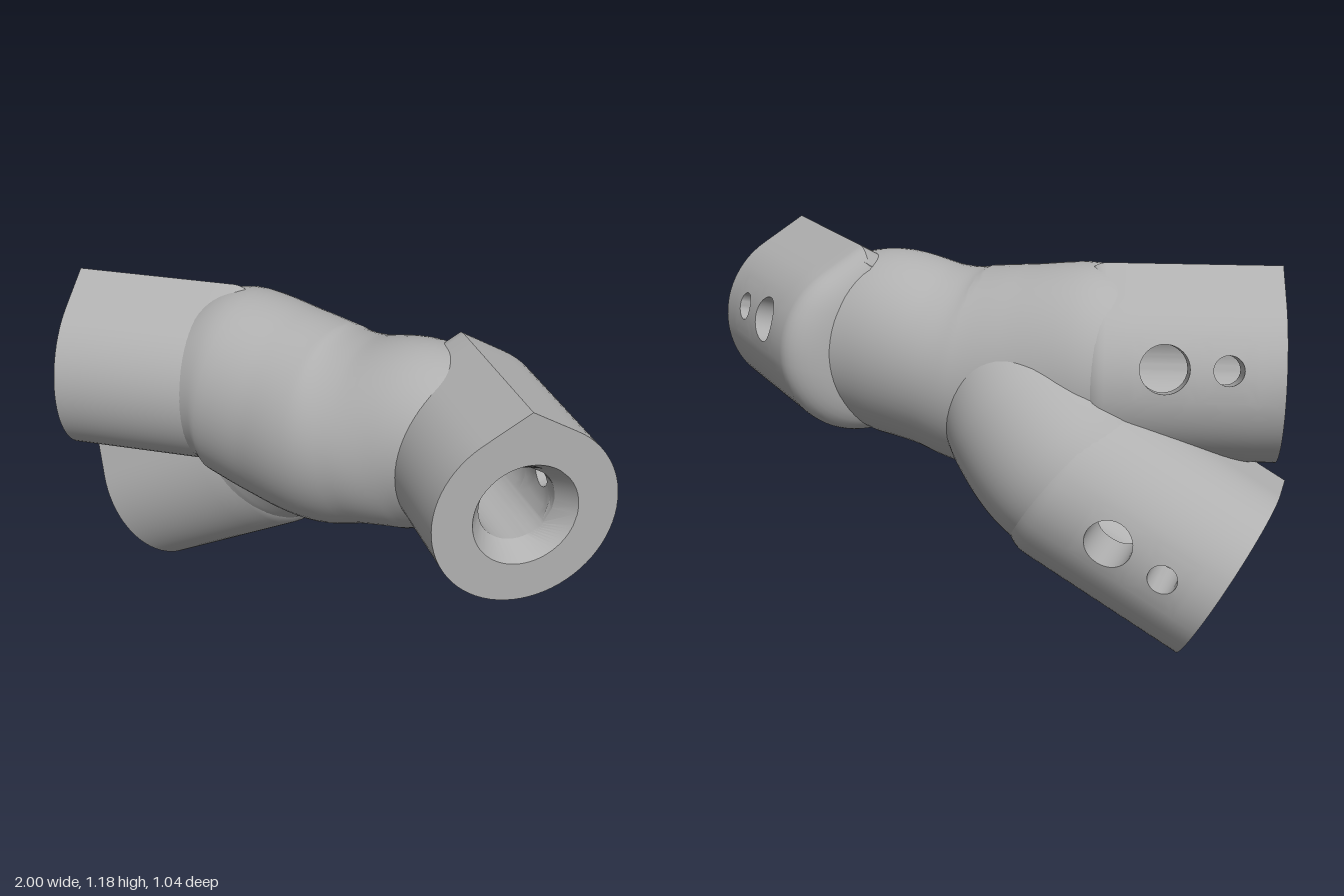
import * as THREE from 'three';
import { toCreasedNormals } from 'three/addons/utils/BufferGeometryUtils.js';

const BORE = 0.12, CELL = 0.1, COLS = 8, REST = 64;
// cross holes through the socket wall: depth range of the cell, centre depth, radius
const HOLES = [
  { from: 0.08, to: 0.26, d: 0.17, r: 0.046 },
  { from: 0.26, to: 0.46, d: 0.36, r: 0.075 },
];

function finish(points, crease) {
  const geo = new THREE.BufferGeometry();
  geo.setAttribute('position', new THREE.Float32BufferAttribute(points.flatMap(p => p.toArray()), 3));
  return toCreasedNormals(geo, crease);
}

function quad(out, a, b, c, d) {
  out.push(a, b, c, a, c, d);
}

// Socket along local +y (open end at y = 0), cross holes on local +z, ridge at angle ridge
function socketGeometry(radius, ridge, straight, domeLength) {
  const tris = [];
  const ridgeScale = a => {
    const off = Math.abs(Math.atan2(Math.sin(a - ridge), Math.cos(a - ridge)));
    return off < Math.PI / 6 ? 1 / Math.cos(Math.PI / 6 - off) : 1;
  };
  const point = (a, d, r, outer) => {
    const k = outer ? r * ridgeScale(a) : r;
    return new THREE.Vector3(k * Math.sin(a), -d, k * Math.cos(a));
  };

  // profile rows from the bore floor, out over the end face, back to the domed end
  const rows = [[0.48, 0], [0.48, BORE], [0.46, BORE], [0.26, BORE], [0.08, BORE], [0.07, BORE], [0, 0.165],
    [0, radius, true], [0.08, radius, true], [0.26, radius, true], [0.46, radius, true], [straight, radius, true]];
  for (let i = 1; i <= 10; i++) {
    const t = i / 10 * Math.PI / 2;
    rows.push([straight + domeLength * Math.sin(t), radius * Math.sqrt(Math.max(0, Math.cos(t))), true]);
  }

  // column angles: the first columns span the hole cells
  const angles = r => {
    const R = Math.max(r, BORE), list = [], edge = Math.asin(CELL / R);
    for (let k = 0; k <= COLS; k++) {
      list.push(Math.asin(CELL / R * Math.tan(-Math.PI / 4 + k / COLS * Math.PI / 2)));
    }
    const step = (2 * Math.PI - 2 * edge) / REST;
    for (let k = 1; k <= REST; k++) {
      const a = edge + k * step;
      const gap = Math.atan2(Math.sin(ridge - a), Math.cos(ridge - a));
      list.push(k < REST && Math.abs(gap) < step / 2 ? a + gap : a);
    }
    return list;
  };

  for (let i = 0; i < rows.length - 1; i++) {
    const [d0, r0, o0] = rows[i], [d1, r1, o1] = rows[i + 1];
    const A = angles(r0), B = angles(r1);
    const hole = r0 === r1 && HOLES.find(h => h.from === Math.min(d0, d1) && h.to === Math.max(d0, d1));
    for (let j = hole ? COLS : 0; j < COLS + REST; j++) {
      quad(tris, point(A[j], d0, r0, o0), point(B[j], d1, r1, o1),
        point(B[j + 1], d1, r1, o1), point(A[j + 1], d0, r0, o0));
    }
    if (!hole) continue;
    // square cell with a round opening
    const half = (d1 - d0) / 2, mid = (d0 + d1) / 2, flip = Math.sign(half);
    const cell = (n, k) => {
      const f = n / 32 * Math.PI * 2, c = Math.cos(f), s = Math.sin(f);
      const m = Math.max(Math.abs(c), Math.abs(s));
      const x = THREE.MathUtils.lerp(hole.r * c, CELL * c / m, k);
      const d = THREE.MathUtils.lerp(hole.d + flip * hole.r * s, mid + half * s / m, k);
      return new THREE.Vector3(x, -d, Math.sqrt(r0 * r0 - x * x));
    };
    for (let n = 0; n < 32; n++) {
      for (let k = 0; k < 3; k++) {
        quad(tris, cell(n, k / 3), cell(n + 1, k / 3), cell(n + 1, (k + 1) / 3), cell(n, (k + 1) / 3));
      }
    }
  }

  // walls of the cross holes
  for (const h of HOLES) {
    const rim = (n, R) => {
      const f = n / 32 * Math.PI * 2, x = h.r * Math.cos(f);
      return new THREE.Vector3(x, -h.d + h.r * Math.sin(f), Math.sqrt(R * R - x * x));
    };
    for (let n = 0; n < 32; n++) {
      quad(tris, rim(n, radius), rim(n + 1, radius), rim(n + 1, BORE), rim(n, BORE));
    }
  }
  return finish(tris, 0.5);
}

// Smooth tube through sections [x, y, z, upright radius, depth radius]
function loftGeometry(sections) {
  const path = new THREE.CatmullRomCurve3(sections.map(s => new THREE.Vector3(s[0], s[1], s[2])));
  const size = new THREE.CatmullRomCurve3(sections.map(s => new THREE.Vector3(s[3], s[4], 0)));
  const steps = 40, sides = 64, rings = [], tris = [];
  for (let i = 0; i <= steps; i++) {
    const p = path.getPoint(i / steps), r = size.getPoint(i / steps);
    const t = path.getTangent(i / steps);
    const up = new THREE.Vector3(0, 0, 1).cross(t).normalize();
    const side = t.clone().cross(up);
    rings.push(Array.from({ length: sides + 1 }, (_, j) => {
      const a = j / sides * Math.PI * 2;
      return p.clone().addScaledVector(up, Math.cos(a) * r.x).addScaledVector(side, Math.sin(a) * r.y);
    }));
  }
  for (let i = 0; i < steps; i++) {
    for (let j = 0; j < sides; j++) {
      quad(tris, rings[i][j], rings[i][j + 1], rings[i + 1][j + 1], rings[i + 1][j]);
    }
  }
  return finish(tris, 1.2);
}

export function createModel() {
  const model = new THREE.Group();
  model.name = 'threeWayPipeJoint';
  const grey = new THREE.MeshStandardMaterial({ color: 0xb0b0b0, side: THREE.DoubleSide });
  grey.name = 'grey';

  const add = (name, geometry) => {
    const mesh = new THREE.Mesh(geometry, grey);
    mesh.name = name;
    model.add(mesh);
    return mesh;
  };

  // Three sockets: end centre, outward axis, cross hole direction, ridge direction
  const sockets = [
    { name: 'leftSocket', end: [0.79, 0.85, 0.315], axis: [0.703, 0, 0.711], hole: [0.684, 0.27, -0.677],
      ridge: [0, 1, 0], radius: 0.29, straight: 0.54, dome: 0.1 },
    { name: 'rightSocket', end: [-0.935, 0.85, 0.055], axis: [-0.974, 0, 0.226], hole: [-0.218, 0.27, -0.938],
      ridge: [0, 1, 0], radius: 0.29, straight: 0.54, dome: 0.1 },
    { name: 'lowerSocket', end: [-0.855, 0.268, -0.22], axis: [-0.877, -0.48, 0], hole: [0, 0, -1],
      ridge: [-0.39, 0.72, 0.57], radius: 0.298, straight: 0.56, dome: 0.13 },
  ];
  for (const s of sockets) {
    const y = new THREE.Vector3(...s.axis).normalize();
    const z = new THREE.Vector3(...s.hole).normalize();
    const x = y.clone().cross(z).normalize();
    z.crossVectors(x, y);
    const ridge = new THREE.Vector3(...s.ridge);
    const mesh = add(s.name, socketGeometry(s.radius, Math.atan2(ridge.dot(x), ridge.dot(z)), s.straight, s.dome));
    mesh.quaternion.setFromRotationMatrix(new THREE.Matrix4().makeBasis(x, y, z));
    mesh.position.set(...s.end);
  }

  // Swelling body between the two upper sockets
  add('mainBody', loftGeometry([
    [-0.5, 0.85, -0.046, 0.275, 0.275],
    [-0.38, 0.85, -0.05, 0.325, 0.305],
    [-0.18, 0.815, -0.035, 0.335, 0.31],
    [0, 0.8, -0.01, 0.33, 0.322],
    [0.15, 0.82, 0, 0.305, 0.31],
    [0.32, 0.85, 0.01, 0.31, 0.285],
    [0.5, 0.85, 0.03, 0.27, 0.26],
  ]));

  // Neck that joins the lower socket to the body
  add('lowerNeck', loftGeometry([
    [-0.46, 0.485, -0.22, 0.28, 0.28],
    [-0.32, 0.585, -0.205, 0.298, 0.298],
    [-0.2, 0.7, -0.15, 0.29, 0.29],
    [-0.1, 0.8, -0.08, 0.25, 0.25],
  ]));
  return model;
}
